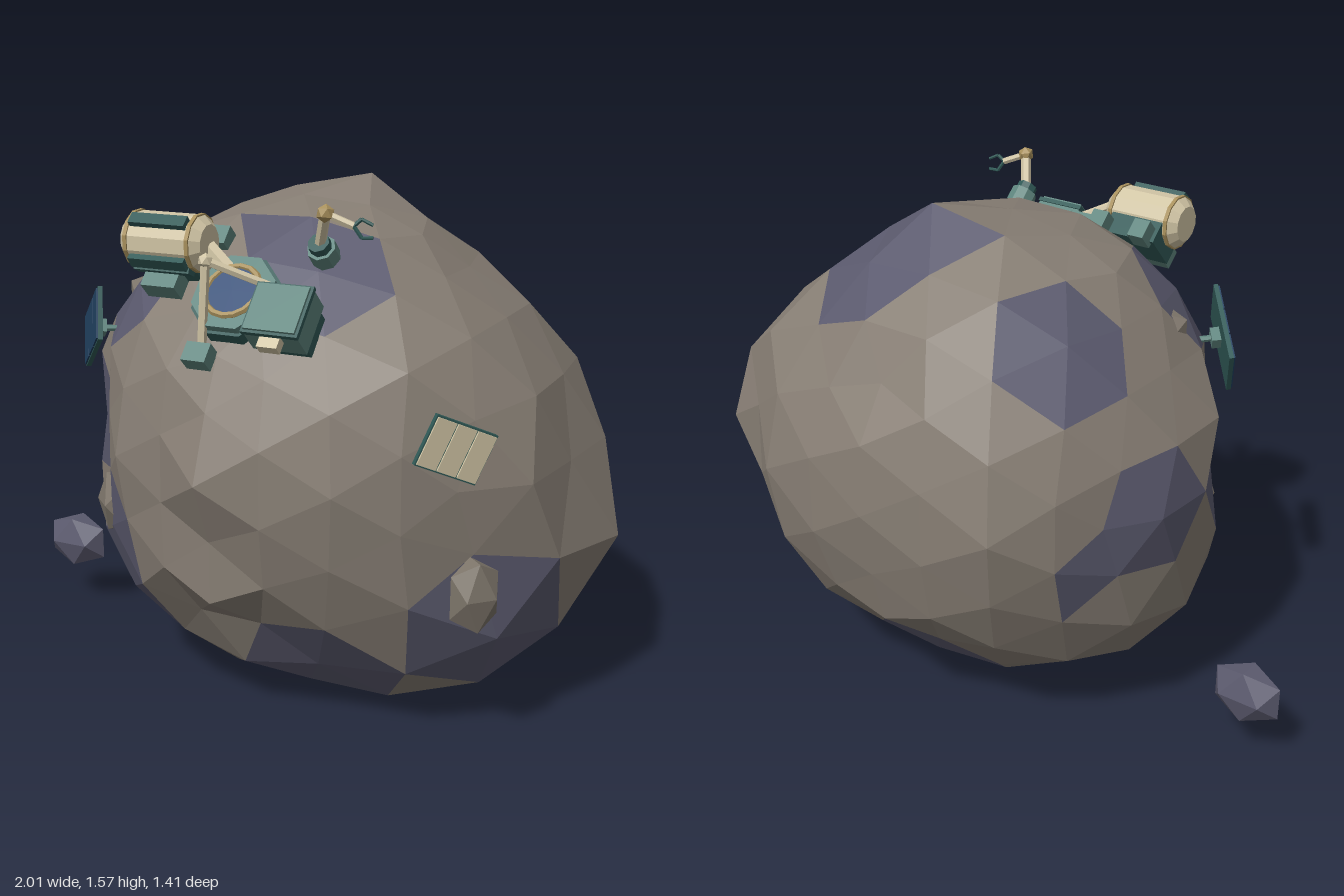
import * as THREE from 'three';

const V = (x, y, z) => new THREE.Vector3(x, y, z);
const mat = (name, color) => {
  const m = new THREE.MeshStandardMaterial({ color, flatShading: true });
  m.name = name;
  return m;
};
const M = {
  rock: mat('stone', 0x877e74), dark: mat('slateStone', 0x5b5a6e), boulder: mat('boulderStone', 0x7d756a),
  teal: mat('teal', 0x5f857e), deep: mat('deepTeal', 0x315a57), cream: mat('cream', 0xd2c6a6),
  gold: mat('gold', 0xa8905c), navy: mat('navyCell', 0x20405f), blue: mat('blueDeck', 0x2c4a75),
};

function add(parent, name, geo, material, x = 0, y = 0, z = 0) {
  const m = new THREE.Mesh(geo, material);
  m.name = name;
  m.position.set(x, y, z);
  parent.add(m);
  return m;
}
const box = (p, name, m, w, h, d, x, y, z) => add(p, name, new THREE.BoxGeometry(w, h, d), m, x, y, z);
const disc = (p, name, m, r, h, x, y, z, n = 8) => add(p, name, new THREE.CylinderGeometry(r, r, h, n), m, x, y, z);

// Straight rod between two points
function rod(parent, name, m, a, b, r) {
  const d = b.clone().sub(a);
  const c = a.clone().add(b).multiplyScalar(0.5);
  const o = add(parent, name, new THREE.CylinderGeometry(r, r, d.length(), 6), m, c.x, c.y, c.z);
  o.quaternion.setFromUnitVectors(V(0, 1, 0), d.normalize());
  return o;
}

// Asteroid: radii along three great circles, each running from its first axis towards its second
const CENTRE = V(0.035, 0.81, 0.01);
const QUARTER = [0, 17.2, 31.7, 43.6, 58.3, 74.5];
const ANGLES = [...QUARTER, 90, ...QUARTER.slice(1).reverse().map((a) => 180 - a)];
const RINGS = [
  [V(0, 1, 0), V(1, 0, 0), [.71, .73, .727, .725, .765, .83, .86, .95, 1, .965, .93, .835,
    .80, .755, .75, .806, .78, .73, .70, .715, .665, .68, .70, .71]],
  [V(0, 0, 1), V(0, 1, 0), [.69, .65, .64, .66, .675, .71, .71, .76, .73, .764, .70, .73,
    .71, .71, .734, .715, .74, .805, .80, .795, .76, .67, .715, .645]],
  [V(1, 0, 0), V(0, 0, 1), [.86, .87, .78, .75, .72, .69, .69, .62, .645, .62, .60, .635,
    .70, .72, .695, .735, .74, .71, .71, .755, .785, .79, .90, .93]],
];
// Single corners off the circles: direction and radius
const CORNERS = [
  [V(.25, 1.46, -.40), .80], [V(1.46, -.40, -.25), 1.04], [V(1.31, -.81, -.5), .95],
  [V(1.46, -.40, -.75), .87], [V(1.06, -.65, -.90), .82], [V(.65, -.90, -1.06), .79],
];

// Dark patches: corners whose whole fan of faces is dark, then single faces
const FANS = [
  [-.90, 1.06, -.65], [.5, 1.31, -.81], [.5, 1.31, .81], [-.90, 1.06, .65], [-1.62, 0, .5],
  [-1.06, -.65, .90], [-1.62, 0, -.5], [1.31, -.81, .5], [.5, -1.31, .81], [.75, -1.46, -.40], [0, -1.31, -.81],
];
const SHARDS = [
  [0, 4.24, 1.62], [0, 4.24, -1.62], [-2.06, -3.27, 2.52], [-3.74, -1.31, -2.81], [-4.30, -.65, -2.90],
  [-4.30, -.65, 2.90], [3.83, -1.87, -2.15], [3.27, -2.52, -2.06], [3.37, -3.08, -1.40], [3.77, -2.83, -.75],
];

function buildAsteroid(root) {
  const anchors = CORNERS.map(([d, r]) => ({ r, dir: d.clone().normalize() }));
  for (const [a, b, radii] of RINGS) {
    radii.forEach((r, i) => {
      const t = THREE.MathUtils.degToRad(ANGLES[i % 12] + (i < 12 ? 0 : 180));
      anchors.push({ r, dir: a.clone().multiplyScalar(Math.cos(t)).addScaledVector(b, Math.sin(t)) });
    });
  }
  // Radius blended from the nearest anchors, plus a little roughness
  const shape = (d) => {
    let sum = 0, weight = 0;
    for (const a of anchors) {
      const w = 1 / (d.distanceToSquared(a.dir) ** 2 + 2e-5);
      sum += w * a.r;
      weight += w;
    }
    const rough = 0.004 * (Math.sin(11 * d.x + 1) + Math.sin(13 * d.y + 2) + Math.sin(12 * d.z));
    return d.clone().multiplyScalar(sum / weight + rough).add(CENTRE);
  };
  const pos = new THREE.IcosahedronGeometry(1, 3).attributes.position;
  const dirs = Array.from({ length: pos.count }, (_, i) => V().fromBufferAttribute(pos, i));
  const middles = [];
  for (let i = 0; i < dirs.length; i += 3) {
    middles.push(dirs[i].clone().add(dirs[i + 1]).add(dirs[i + 2]).normalize());
  }
  const nearest = (list, p) => {
    const t = V(...p).normalize();
    return list.reduce((best, d) => (d.distanceTo(t) < best.distanceTo(t) ? d : best));
  };
  const fans = FANS.map((p) => nearest(dirs, p));
  const shards = SHARDS.map((p) => nearest(middles, p));
  const faces = { rock: [], dark: [] };
  middles.forEach((middle, f) => {
    const tri = dirs.slice(3 * f, 3 * f + 3);
    const isDark = shards.includes(middle) || tri.some((d) => fans.some((h) => h.distanceTo(d) < 0.01));
    for (const d of tri) faces[isDark ? 'dark' : 'rock'].push(...shape(d).toArray());
  });
  for (const [key, name] of [['rock', 'asteroid'], ['dark', 'asteroidPatches']]) {
    const g = new THREE.BufferGeometry();
    g.setAttribute('position', new THREE.Float32BufferAttribute(faces[key], 3));
    g.computeVertexNormals();
    add(root, name, g, M[key]);
  }
}

// Solar panel: x runs along its length, z faces outward
function panel(root, name, centre, along, normal, w, h, cellMat, reach) {
  const g = new THREE.Group();
  g.name = name;
  const z = normal.normalize();
  const y = z.clone().cross(along).normalize();
  g.quaternion.setFromRotationMatrix(new THREE.Matrix4().makeBasis(y.clone().cross(z), y, z));
  g.position.copy(centre);
  box(g, 'panelFrame', M.deep, w, h, 0.014, 0, 0, 0);
  for (let i = -1; i <= 1; i++) {
    box(g, 'panelCell', cellMat, w / 3 - 0.006, h - 0.01, 0.008, i * (w / 3 - 0.001), 0, 0.008);
  }
  rod(g, 'panelStem', M.teal, V(0, 0, 0), V(0, 0, -reach), 0.01);
  box(g, 'panelJoint', M.teal, 0.05, 0.04, 0.03, 0, 0, -0.02);
  box(g, 'panelFoot', M.teal, 0.06, 0.06, 0.04, 0, 0, -reach);
  root.add(g);
}

function buildStation(root) {
  // Local y points away from the slope, z runs downhill
  const s = new THREE.Group();
  s.name = 'station';
  s.position.set(0.055, 1.285, 0.46);
  s.rotation.x = 0.82;
  root.add(s);

  // Landing deck
  disc(s, 'deckBase', M.deep, 0.135, 0.07, 0, -0.01, 0).rotation.y = Math.PI / 8;
  disc(s, 'deck', M.teal, 0.125, 0.03, 0, 0.035, 0).rotation.y = Math.PI / 8;
  disc(s, 'deckInlay', M.blue, 0.08, 0.008, 0, 0.053, 0, 16);
  add(s, 'deckRing', new THREE.TorusGeometry(0.08, 0.01, 6, 16), M.gold, 0, 0.054, 0).rotation.x = Math.PI / 2;

  // Tripod mast over the deck
  const apex = V(-0.045, 0.165, -0.02);
  for (const foot of [V(-0.06, 0.0, 0.16), V(0.1, 0.05, -0.03), V(-0.11, 0.04, -0.08)]) {
    rod(s, 'mastLeg', M.cream, apex, foot, 0.013);
  }
  add(s, 'mastHead', new THREE.IcosahedronGeometry(0.022, 0), M.cream, apex.x, apex.y, apex.z);
  box(s, 'mastFoot', M.teal, 0.075, 0.05, 0.06, -0.06, 0, 0.185);

  // Storage crate
  box(s, 'crate', M.teal, 0.16, 0.09, 0.15, 0.195, 0.08, 0.085);
  box(s, 'crateLid', M.deep, 0.168, 0.014, 0.158, 0.195, 0.122, 0.085);
  box(s, 'crateTop', M.teal, 0.152, 0.012, 0.142, 0.195, 0.131, 0.085);
  box(s, 'crateBase', M.deep, 0.13, 0.07, 0.12, 0.195, 0.01, 0.075);
  box(s, 'crateHatch', M.cream, 0.06, 0.03, 0.04, 0.195, 0.1, 0.175);

  // Habitat drum lying sideways
  const hab = new THREE.Group();
  hab.name = 'habitat';
  hab.position.set(-0.235, 0.085, -0.125);
  s.add(hab);
  const profile = [[0, -0.13], [0.055, -0.13], [0.08, -0.105], [0.08, 0.105], [0.055, 0.13], [0, 0.13]];
  const drum = new THREE.LatheGeometry(profile.map(([x, y]) => new THREE.Vector2(x, y)), 12);
  add(hab, 'habitatDrum', drum, M.cream).rotation.z = Math.PI / 2;
  for (const x of [-0.1, 0.1]) {
    disc(hab, 'habitatBand', M.gold, 0.084, 0.012, x, 0, 0, 12).rotation.z = Math.PI / 2;
    box(hab, 'cradleFoot', M.teal, 0.055, 0.06, 0.06, x * 0.75 + 0.025, -0.1, -0.08);
  }
  for (const a of [-0.35, 0.15, 1.65]) {
    const rail = box(hab, 'habitatRail', M.deep, 0.18, 0.036, 0.022, 0, 0.083 * Math.sin(a), 0.083 * Math.cos(a));
    rail.rotation.x = -a;
  }
  box(hab, 'cradle', M.deep, 0.18, 0.07, 0.13, 0, -0.08, 0);
  box(hab, 'cradleStep', M.teal, 0.11, 0.06, 0.06, -0.01, -0.07, 0.1);
  rod(hab, 'habitatTunnel', M.cream, V(0.12, -0.02, 0), V(0.19, -0.05, 0.05), 0.025);

  // Robot arm
  disc(s, 'armBase', M.teal, 0.042, 0.05, 0.215, 0.025, -0.165);
  disc(s, 'armTurret', M.deep, 0.032, 0.03, 0.215, 0.06, -0.165);
  const elbow = V(0.255, 0.165, -0.2), wrist = V(0.33, 0.13, -0.19);
  rod(s, 'armPost', M.cream, V(0.215, 0.06, -0.165), elbow, 0.016);
  add(s, 'armElbow', new THREE.IcosahedronGeometry(0.026, 0), M.gold, elbow.x, elbow.y, elbow.z);
  rod(s, 'armForearm', M.cream, elbow, wrist, 0.011);
  for (const k of [-1, 1]) {
    const knuckle = V(0.35, 0.12 + k * 0.018, -0.19 - k * 0.018);
    rod(s, 'gripperFinger', M.deep, wrist, knuckle, 0.006);
    rod(s, 'gripperTip', M.deep, knuckle, V(0.38, 0.11 + k * 0.012, -0.19 - k * 0.012), 0.005);
  }
}

// Angular stone stretched along each axis
function stone(root, name, m, x, y, z, sx, sy, sz, turn = 0) {
  const o = add(root, name, new THREE.IcosahedronGeometry(1, 0).rotateZ(Math.PI / 2), m, x, y, z);
  o.scale.set(sx, sy, sz);
  o.rotation.y = turn;
}

export function createModel() {
  const root = new THREE.Group();
  root.name = 'asteroidOutpost';
  buildAsteroid(root);
  buildStation(root);
  panel(root, 'leftSolarPanel', V(-0.5, 1.135, 0.36), V(0.175, 0.145, 0.18), V(-0.76, 0.1, 0.64), 0.28, 0.165, M.navy, 0.13);
  panel(root, 'rightSolarPanel', V(0.7, 0.94, 0.45), V(0.125, -0.08, -0.135), V(0.71, -0.08, 0.7), 0.2, 0.15, M.cream, 0.1);
  stone(root, 'boulder', M.boulder, -0.44, 0.59, 0.36, 0.085, 0.11, 0.06, -0.75);
  stone(root, 'boulder', M.boulder, 0.75, 0.51, 0.40, 0.085, 0.12, 0.06, 0.8);
  stone(root, 'boulder', M.boulder, -0.40, 1.2, 0.15, 0.1, 0.09, 0.075, 0.3);
  stone(root, 'driftingStone', M.dark, -0.895, 0.235, -0.065, 0.124, 0.1, 0.07);
  return root;
}
